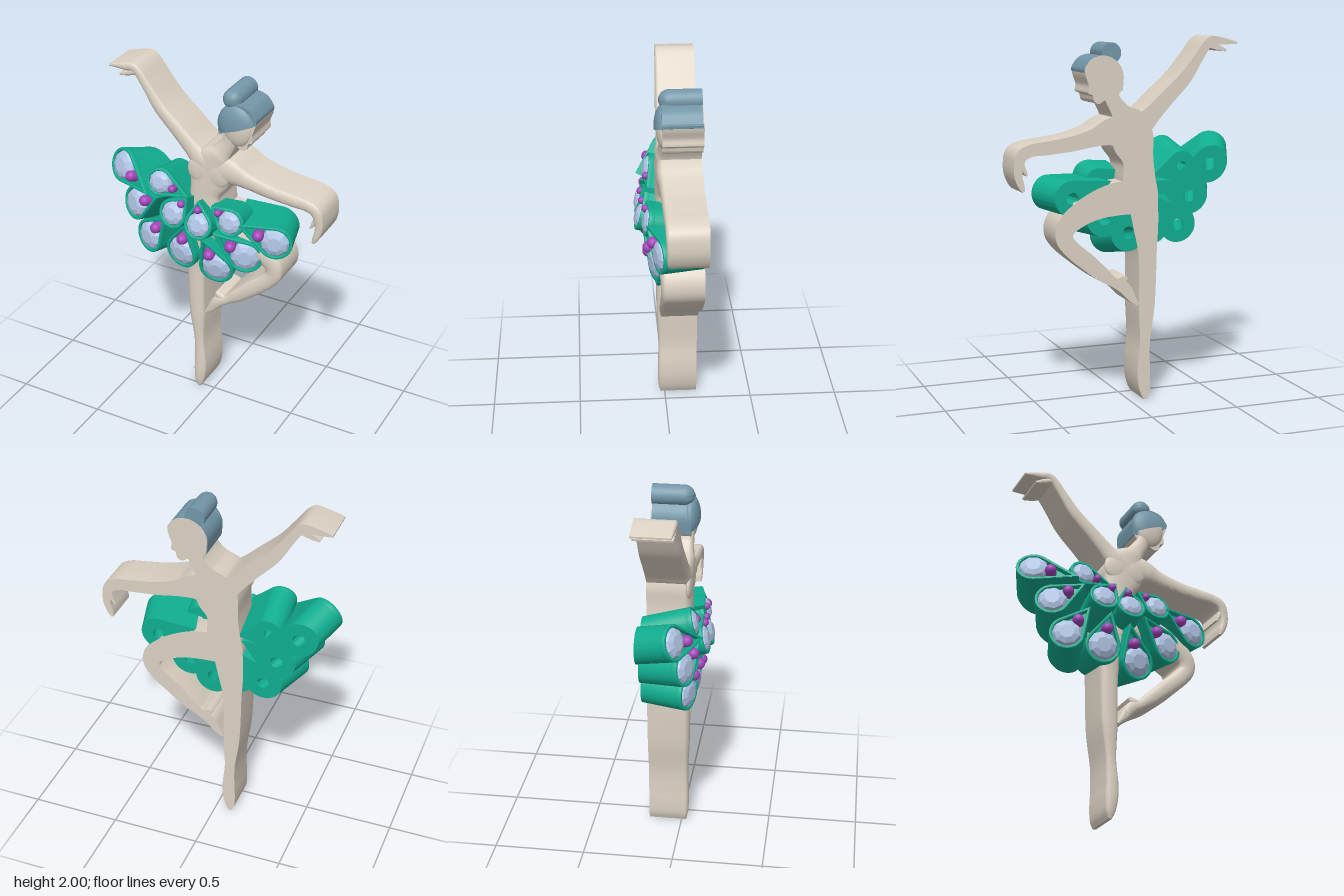
import * as THREE from 'three';
import { toCreasedNormals } from 'three/addons/utils/BufferGeometryUtils.js';

const BACK = -0.185;
const mat = (color, flat = false) => new THREE.MeshStandardMaterial({ color, flatShading: flat });
const SKIN = mat(0xdcd2c4), HAIR = mat(0x7397a9), TEAL = mat(0x10ae90);
const GEM = mat(0xb2c6e6, true), BEAD = mat(0xa545ba);

function add(parent, name, geometry, material) {
  const mesh = new THREE.Mesh(geometry, material);
  mesh.name = name;
  parent.add(mesh);
  return mesh;
}

// Limb: flat back, straight side walls and a domed front, lofted along stations [x, y, half width]
function limbGeometry(stations, dome = 0.036) {
  const curve = new THREE.CatmullRomCurve3(stations.map(s => new THREE.Vector3(...s)), false, 'centripetal');
  const steps = stations.length * 7, arc = 12, ring = arc + 3;
  const pos = [], index = [];
  for (let i = 0; i <= steps; i++) {
    const p = curve.getPoint(i / steps), t = curve.getTangent(i / steps);
    const len = Math.hypot(t.x, t.y) || 1, nx = -t.y / len, ny = t.x / len;
    const w = Math.max(p.z, 0.003), h = Math.min(dome, w * 0.55);
    const put = (u, z) => pos.push(p.x + nx * u * w, p.y + ny * u * w, z);
    put(-1, BACK);
    for (let j = 0; j <= arc; j++) {
      const a = Math.PI * (1 - j / arc);
      put(Math.cos(a), 0.02 + h * Math.sin(a));
    }
    put(1, BACK);
  }
  for (let i = 0; i < steps; i++) for (let j = 0; j < ring; j++) {
    const a = i * ring + j, a2 = i * ring + (j + 1) % ring, b = a + ring, b2 = a2 + ring;
    index.push(a, b, a2, a2, b, b2);
  }
  const e = steps * ring;
  for (let j = 1; j < ring - 1; j++) index.push(0, j, j + 1, e, e + j + 1, e + j);
  const g = new THREE.BufferGeometry();
  g.setAttribute('position', new THREE.Float32BufferAttribute(pos, 3));
  g.setIndex(index);
  return toCreasedNormals(g, 0.7);
}

// Straight extrusion of an outline from one depth to another
function block(shape, from, to) {
  const g = new THREE.ExtrudeGeometry(shape, { depth: to - from, bevelEnabled: false, curveSegments: 40 });
  return g.translate(0, 0, from);
}

const vec2 = list => list.map(p => new THREE.Vector2(...p));

// Teardrop: a circle of radius r with a tip at x = -tip
function teardrop(r, tip, Type = THREE.Shape) {
  const a = Math.PI - Math.acos(r / tip), s = new Type();
  s.moveTo(-tip, 0);
  s.lineTo(r * Math.cos(a), -r * Math.sin(a));
  s.absarc(0, 0, r, -a, a, false);
  s.lineTo(-tip, 0);
  return s;
}

// Skirt petal: deep teardrop cup with a raised rim, faceted gem and a bead near the tip.
// It leans along (leanX, leanY), and its far end is cut flat at z = end.
function petal([x, y, z, r, tip, angle, leanX, leanY, end, beadR]) {
  const g = new THREE.Group();
  g.name = 'skirtPetal';
  const normal = new THREE.Vector3(leanX, leanY, Math.sqrt(1 - leanX ** 2 - leanY ** 2));
  g.position.set(x, y, z);
  g.quaternion.setFromUnitVectors(new THREE.Vector3(0, 0, 1), normal);
  g.rotateZ(THREE.MathUtils.degToRad(angle));

  const base = teardrop(r, tip);
  base.holes.push(new THREE.Path().absarc(0, 0, r * 0.33, 0, Math.PI * 2, true));
  const baseGeo = block(base, -1, 0), pos = baseGeo.attributes.position, v = new THREE.Vector3();
  for (let i = 0; i < pos.count; i++) if (pos.getZ(i) < -0.5) {
    v.set(pos.getX(i), pos.getY(i), 0).applyQuaternion(g.quaternion);
    pos.setZ(i, (end - z - v.z) / normal.z);
  }
  add(g, 'petalBase', toCreasedNormals(baseGeo, 0.6), TEAL);

  const rim = teardrop(r, tip);
  rim.holes.push(teardrop(r - 0.018, tip * 0.84, THREE.Path));
  const rimGeo = new THREE.ExtrudeGeometry(rim, {
    depth: 0.024, bevelThickness: 0.006, bevelSize: 0.005, bevelOffset: -0.005, bevelSegments: 2, curveSegments: 32
  });
  add(g, 'petalRim', toCreasedNormals(rimGeo, 0.6), TEAL);

  const q = r * 0.85;
  const gemGeo = new THREE.LatheGeometry(vec2([[0, 0], [q, 0], [q, 0.018], [q * 0.85, 0.034], [q * 0.5, 0.046], [0, 0.046]]), 9);
  add(g, 'gem', gemGeo.rotateX(Math.PI / 2), GEM);

  const bead = add(g, 'bead', new THREE.CapsuleGeometry(beadR, 0.035, 6, 18).rotateX(Math.PI / 2), BEAD);
  bead.position.set(-r * 1.02, 0, 0.014);
  return g;
}

export function createModel() {
  const model = new THREE.Group();
  model.name = 'dancer';

  // Body and limbs
  const limbs = {
    torso: [[0.12, 1.72, 0.045], [0.095, 1.66, 0.042], [0.055, 1.6, 0.056], [0.01, 1.53, 0.11], [-0.018, 1.44, 0.118],
      [-0.045, 1.34, 0.088], [-0.05, 1.24, 0.095], [-0.055, 1.14, 0.105], [-0.06, 1.06, 0.08]],
    standingLeg: [[-0.07, 1.16, 0.09], [-0.09, 0.98, 0.073], [-0.1, 0.84, 0.055], [-0.1, 0.655, 0.05], [-0.096, 0.52, 0.046],
      [-0.087, 0.335, 0.03], [-0.08, 0.2, 0.036], [-0.082, 0.12, 0.037], [-0.088, 0.045, 0.027], [-0.09, 0.004, 0.01]],
    raisedLeg: [[-0.06, 1.14, 0.09], [0.08, 1.135, 0.09], [0.2, 1.105, 0.077], [0.3, 1.055, 0.065], [0.367, 0.995, 0.055],
      [0.376, 0.935, 0.048], [0.338, 0.88, 0.046], [0.245, 0.8, 0.046], [0.155, 0.723, 0.038], [0.09, 0.675, 0.026],
      [0.035, 0.645, 0.033], [-0.01, 0.585, 0.022], [-0.045, 0.543, 0.008]],
    raisedHeel: [[0.08, 0.67, 0.02], [0.045, 0.685, 0.022], [0.02, 0.705, 0.008]],
    rightArm: [[0.0, 1.5, 0.08], [-0.075, 1.54, 0.062], [-0.12, 1.58, 0.05], [-0.2, 1.66, 0.043], [-0.32, 1.778, 0.036],
      [-0.4, 1.89, 0.027], [-0.45, 1.958, 0.024], [-0.475, 1.976, 0.023], [-0.52, 1.972, 0.021], [-0.585, 1.965, 0.012], [-0.625, 1.96, 0.005]],
    rightThumb: [[-0.46, 1.955, 0.018], [-0.515, 1.935, 0.014], [-0.56, 1.92, 0.006]],
    leftArm: [[0.0, 1.49, 0.09], [0.1, 1.5, 0.077], [0.2, 1.473, 0.05], [0.33, 1.443, 0.04], [0.47, 1.425, 0.036],
      [0.56, 1.415, 0.033], [0.608, 1.39, 0.032], [0.628, 1.33, 0.025], [0.628, 1.28, 0.021], [0.612, 1.23, 0.017], [0.6, 1.2, 0.008]],
    leftThumb: [[0.615, 1.36, 0.015], [0.598, 1.32, 0.011], [0.58, 1.285, 0.005]]
  };
  for (const [name, stations] of Object.entries(limbs)) add(model, name, limbGeometry(stations), SKIN);
  for (const x of [-0.06, 0.035]) {
    const bust = add(model, 'bust', new THREE.SphereGeometry(0.08, 28, 18), SKIN);
    bust.position.set(x, 1.475, 0.038);
    bust.scale.z = 0.25;
  }

  // Head with the face in profile and a softly domed front
  const crown = [[0.044, 1.725], [0.042, 1.81], [0.08, 1.873], [0.145, 1.903], [0.214, 1.888], [0.254, 1.84]];
  const face = [[0.254, 1.8], [0.237, 1.748], [0.24, 1.708], [0.216, 1.695], [0.206, 1.662], [0.178, 1.65], [0.14, 1.67], [0.08, 1.69]];
  const head = new THREE.Shape();
  head.moveTo(...crown[0]);
  head.splineThru(vec2([...crown.slice(1), ...face, crown[0]]));
  add(model, 'head', toCreasedNormals(block(head, BACK, 0.03), 0.6), SKIN);
  const faceDome = add(model, 'faceDome', new THREE.SphereGeometry(1, 36, 24), SKIN);
  faceDome.position.set(0.15, 1.778, 0.02);
  faceDome.scale.set(0.085, 0.115, 0.04);

  // Hair: side wall slightly proud of the head, a domed cap and a round-fronted bun
  const hairEdge = crown.map(([x, y]) => [0.15 + (x - 0.15) * 1.02, 1.8 + (y - 1.8) * 1.02]);
  const hair = new THREE.Shape();
  hair.moveTo(...hairEdge[0]);
  hair.splineThru(vec2([...hairEdge.slice(1), [0.258, 1.815]]));
  hair.splineThru(vec2([[0.22, 1.787], [0.14, 1.757], [0.044, 1.715]]));
  add(model, 'hair', toCreasedNormals(block(hair, BACK + 0.006, 0.033), 0.6), HAIR);
  const hairDome = add(model, 'hairDome', new THREE.SphereGeometry(1, 40, 20, 0, Math.PI * 2, 0, 1.62), HAIR);
  hairDome.position.set(0.149, 1.777, 0.02);
  hairDome.scale.set(0.11, 0.126, 0.052);
  hairDome.rotation.z = 0.36;

  const bunProfile = [[0, BACK + 0.003], [0.055, BACK + 0.003]];
  for (let i = 0; i <= 8; i++) {
    const a = i / 8 * Math.PI / 2;
    bunProfile.push([0.055 * Math.cos(a), -0.01 + 0.055 * Math.sin(a)]);
  }
  const bunGeo = toCreasedNormals(new THREE.LatheGeometry(vec2(bunProfile), 32).rotateX(Math.PI / 2), 0.6);
  add(model, 'hairBun', bunGeo, HAIR).position.set(0.108, 1.916, 0);

  // Skirt petals: x, y, z, radius, tip length, outward angle, lean x, lean y, end z, bead radius
  const outer = BACK + 0.003, inner = -0.06;
  const skirt = new THREE.Group();
  skirt.name = 'skirt';
  [
    [-0.55, 1.365, 0.005, 0.097, 0.26, 160, -0.38, 0.3, outer, 0.031],
    [-0.288, 1.36, 0.065, 0.08, 0.18, 165, 0.05, 0.25, outer, 0.021],
    [-0.45, 1.175, 0.045, 0.097, 0.21, 208, -0.4, 0.18, outer, 0.031],
    [-0.365, 0.99, 0.05, 0.097, 0.21, 232, -0.35, 0.06, outer, 0.031],
    [-0.16, 0.955, 0.06, 0.1, 0.21, 259, -0.15, -0.1, outer, 0.031],
    [0.045, 0.905, 0.045, 0.1, 0.22, 289, 0.15, -0.18, outer, 0.031],
    [0.22, 1.03, 0.05, 0.098, 0.22, 324, 0.3, 0, outer, 0.031],
    [0.39, 1.158, 0.035, 0.096, 0.23, 338, 0.27, 0.04, outer, 0.031],
    [-0.182, 1.217, 0.115, 0.083, 0.135, 234, -0.05, 0.25, inner, 0.021],
    [-0.024, 1.19, 0.12, 0.083, 0.135, 277, 0, 0.28, inner, 0.021],
    [0.148, 1.237, 0.085, 0.08, 0.135, 328, 0.08, 0.2, inner, 0.021]
  ].forEach(p => skirt.add(petal(p)));
  model.add(skirt);
  return model;
}
